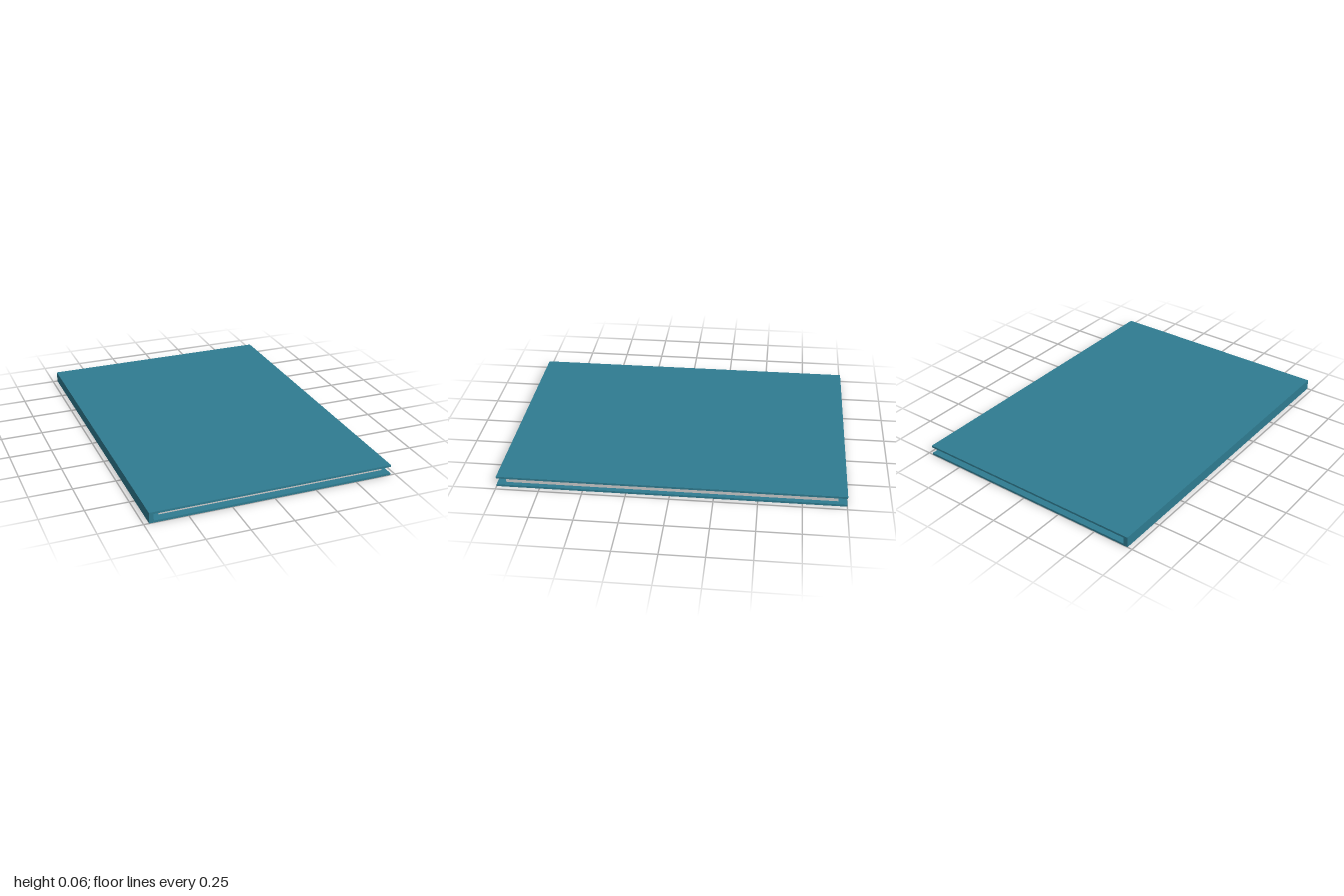
import * as THREE from 'three';

const W = 0.72, L = 2, H = 0.064, T = 0.012, SPINE = 0.026;

export function createModel() {
  const book = new THREE.Group();
  book.name = 'book';
  const teal = new THREE.MeshStandardMaterial({ color: 0x2f7c91 });
  const grey = new THREE.MeshStandardMaterial({ color: 0xcccccc });

  // Box given by its x, y and z extents
  const slab = (name, material, [x0, x1], [y0, y1], [z0, z1]) => {
    const mesh = new THREE.Mesh(new THREE.BoxGeometry(x1 - x0, y1 - y0, z1 - z0), material);
    mesh.position.set((x0 + x1) / 2, (y0 + y1) / 2, (z0 + z1) / 2);
    mesh.name = name;
    book.add(mesh);
  };

  // Hard cover: a C-shaped section run along the length of the spine
  const inner = -W + SPINE;
  const section = new THREE.Shape([
    [-W, 0], [W, 0], [W, T], [inner, T],
    [inner, H - T], [W, H - T], [W, H], [-W, H],
  ].map(([x, y]) => new THREE.Vector2(x, y)));
  const coverGeometry = new THREE.ExtrudeGeometry(section, { depth: L, bevelEnabled: false });
  coverGeometry.translate(0, 0, -L / 2);
  const cover = new THREE.Mesh(coverGeometry, teal);
  cover.name = 'cover';
  book.add(cover);

  // Page block, set back from the cover edges and clear of the spine
  slab('pages', grey, [-0.65, 0.69], [T, H - T], [-0.95, 0.95]);

  // Narrow binding strip on the spine side of the pages
  slab('bindingStrip', grey, [-0.665, -0.65], [0.024, 0.04], [-0.94, 0.94]);

  return book;
}
